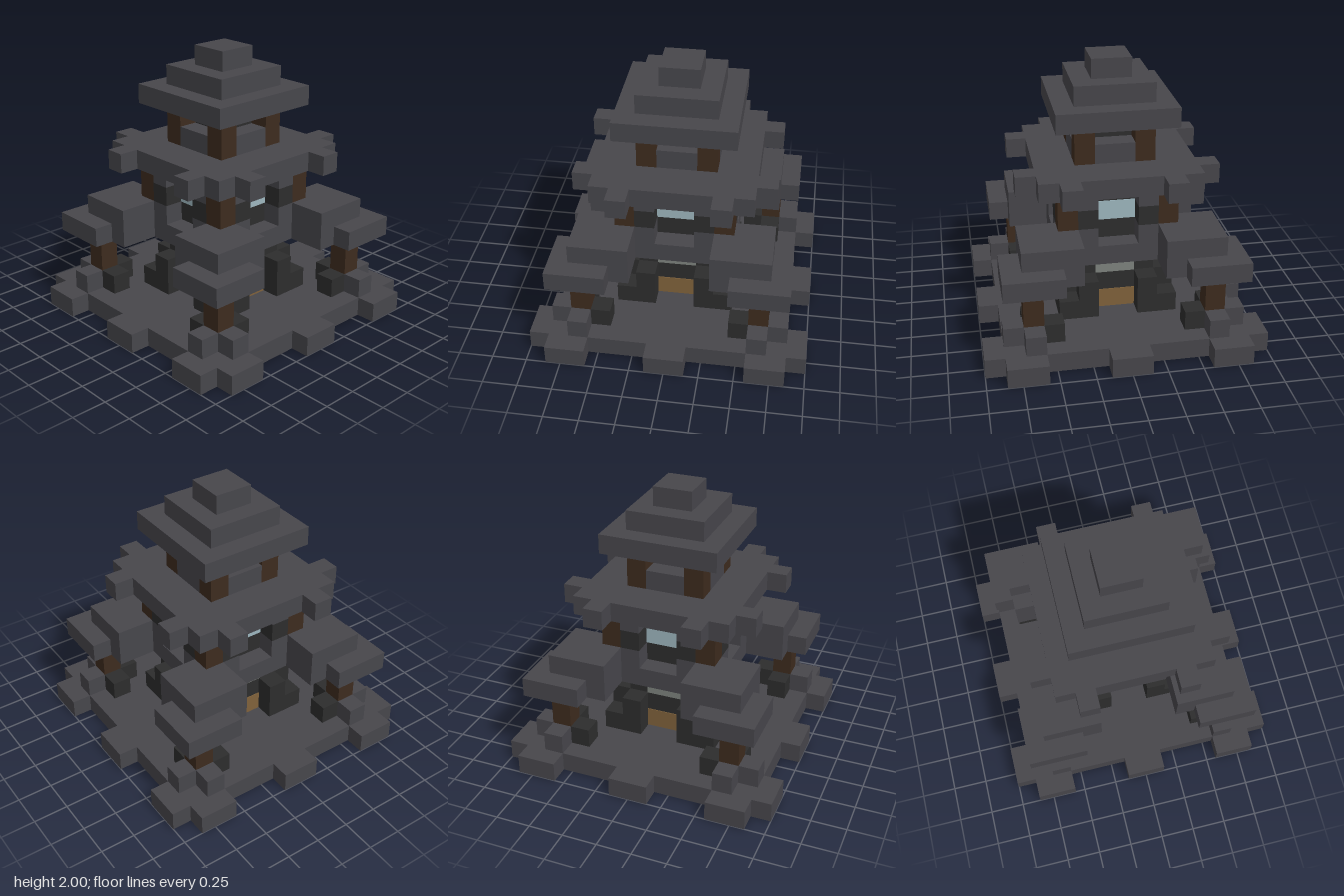
import * as THREE from 'three';

const U = 1 / 7; // one block

const mat = (name, color) => {
  const m = new THREE.MeshStandardMaterial({ color });
  m.name = name;
  return m;
};

export function createModel() {
  const slate = mat('slate', 0x47464b);
  const dark = mat('darkStone', 0x2d2d2d);
  const wood = mat('darkWood', 0x3d2b1e);
  const door = mat('doorWood', 0x80623b);
  const glass = mat('paleBlueGlass', 0x9db6be);
  const grey = mat('greyStone', 0x7d827d);

  const root = new THREE.Group();
  root.name = 'pagoda';

  // Box from block coordinates: x, y and z ranges
  const box = (parent, name, m, x0, x1, y0, y1, z0, z1) => {
    const mesh = new THREE.Mesh(
      new THREE.BoxGeometry((x1 - x0) * U, (y1 - y0) * U, (z1 - z0) * U), m);
    mesh.position.set((x0 + x1) / 2 * U, (y0 + y1) / 2 * U, (z0 + z1) / 2 * U);
    mesh.name = name;
    parent.add(mesh);
  };
  const square = (name, m, r, y0, y1) => box(root, name, m, -r, r, y0, y1, -r, r);

  // Four quarter-turn copies of whatever the builder adds
  const fourSides = (name, build) => {
    for (let i = 0; i < 4; i++) {
      const g = new THREE.Group();
      g.name = name;
      g.rotation.y = i * Math.PI / 2;
      build(g);
      root.add(g);
    }
  };

  // Base platform with tabs along each edge
  square('platform', slate, 6, 0, 1);
  fourSides('platformTabs', g => {
    for (const x of [-6, -1, 4]) box(g, 'tab', slate, x, x + 2, 0, 1, 6, 7);
  });

  // Core tower
  square('lowerCore', dark, 2, 1, 4);
  square('lowerEave', slate, 3, 4, 5);
  square('middleCore', dark, 2, 5, 8);
  square('upperCore', dark, 1, 9, 11);

  // Corner pavilions: post, footing blocks and two-step roof
  fourSides('cornerPavilion', g => {
    box(g, 'post', wood, 4, 5, 1, 4, 4, 5);
    box(g, 'outerFooting', slate, 5, 6, 1, 2, 4, 5);
    box(g, 'outerFooting', slate, 4, 5, 1, 2, 5, 6);
    box(g, 'innerFooting', dark, 3, 4, 1, 2, 4, 5);
    box(g, 'innerFooting', dark, 4, 5, 1, 2, 3, 4);
    box(g, 'roofPlate', slate, 3, 6, 4, 5, 3, 6);
    box(g, 'roofSupport', slate, 2, 5, 4, 5, 2, 5);
    box(g, 'roofCap', slate, 2, 5, 5, 6, 2, 5);
    box(g, 'buttressCorner', dark, 2, 3, 1, 2, 2, 3);
    box(g, 'middlePost', wood, 2, 3, 6, 8, 2, 3);
    box(g, 'upperPost', wood, 1, 2, 9, 11, 1, 2);
  });

  // Wall details on each side
  fourSides('wallSide', g => {
    for (const x of [-2, 1]) {
      box(g, 'buttress', dark, x, x + 1, 1, 3, 2, 3);
      box(g, 'roofRib', slate, x, x + 1, 5, 6, 2, 3);
      box(g, 'windowJamb', dark, x, x + 1, 6, 7, 2, 3);
      box(g, 'bracket', slate, x, x + 1, 7, 8, 2, 3);
    }
    box(g, 'door', door, -1, 1, 1, 2, 2, 2.04);
    box(g, 'fanlight', grey, -1, 1, 3, 4, 2, 2.04);
    box(g, 'window', glass, -1, 1, 6, 7, 2, 2.04);
    box(g, 'parapet', slate, -1, 1, 9, 10, 1, 2);
  });

  // Middle roof with pointed eave blocks
  square('middleRoof', slate, 4, 8, 9);
  fourSides('middleRoofEaves', g => {
    for (const x of [-3, 2]) box(g, 'eaveBlock', slate, x, x + 1, 8, 9, 4, 5);
  });

  // Stepped top roof
  [3, 2, 1].forEach((r, i) => square('topRoofStep', slate, r, 11 + i, 12 + i));

  return root;
}
